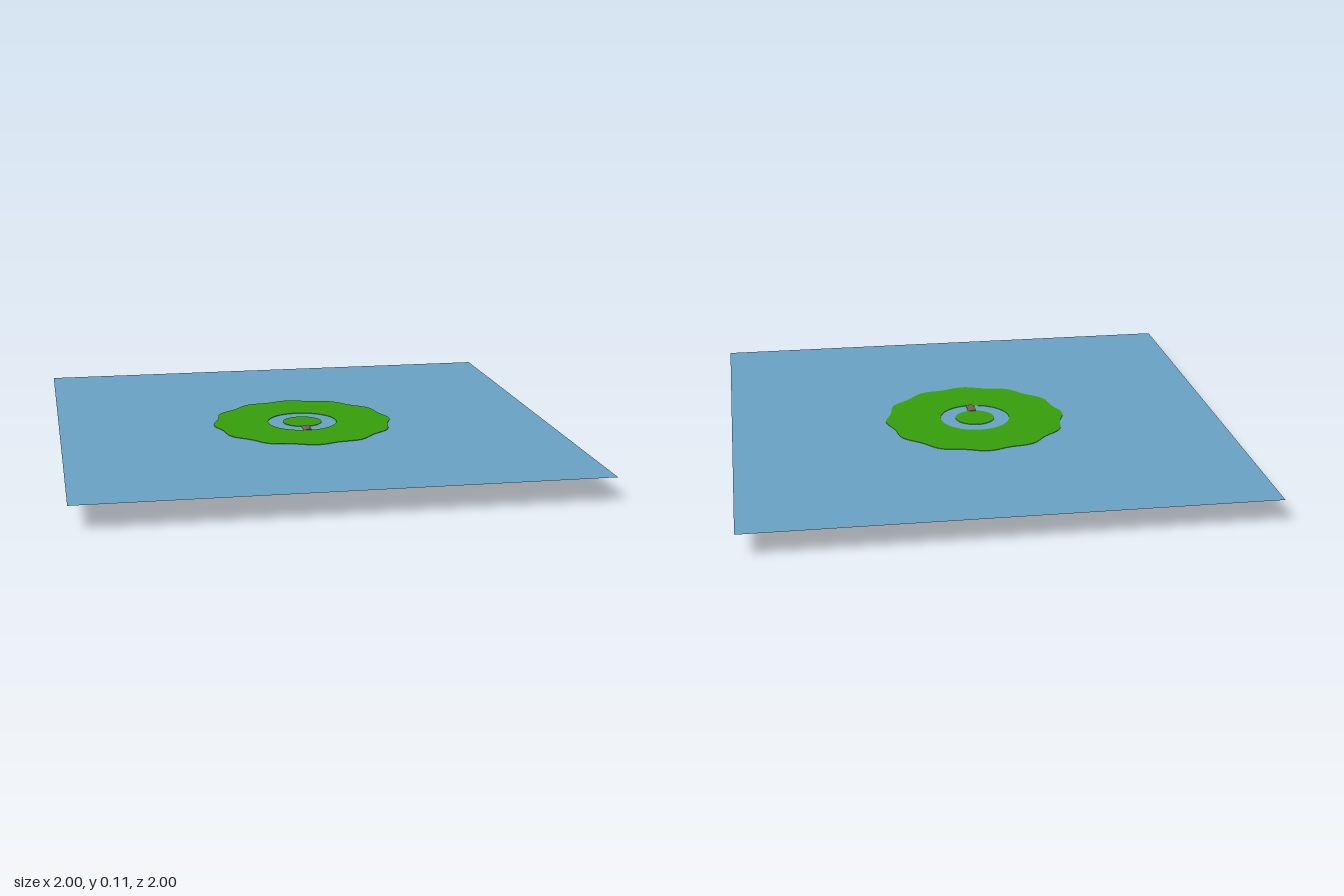
import * as THREE from 'three';
import { toCreasedNormals } from 'three/addons/utils/BufferGeometryUtils.js';

const WATER_Y = 0.1;
const TOP_Y = 0.102;

function part(name, geometry, color, side = THREE.FrontSide) {
  const mesh = new THREE.Mesh(geometry, new THREE.MeshStandardMaterial({ color, side }));
  mesh.name = name;
  return mesh;
}

// Island: a turned bowl with a carved moat, its outer wall pushed into lobes
function islandGeometry() {
  const profile = [
    [0, 0], [0.295, 0], [0.318, 0.014], [0.338, 0.03], [0.353, 0.047], [0.361, 0.065], [0.362, TOP_Y],
    [0.142, TOP_Y], [0.142, 0.06], [0.08, 0.06], [0.08, TOP_Y], [0, TOP_Y],
  ].map(([r, y]) => new THREE.Vector2(r, y));
  const geometry = new THREE.LatheGeometry(profile, 144);
  const pos = geometry.attributes.position;
  for (let i = 0; i < pos.count; i++) {
    const x = pos.getX(i), z = pos.getZ(i);
    if (Math.hypot(x, z) < 0.2) continue;
    const k = 1 + 0.022 * Math.cos(12 * Math.atan2(z, x));
    pos.setX(i, x * k);
    pos.setZ(i, z * k);
  }
  return toCreasedNormals(geometry, 0.6);
}

export function createModel() {
  const model = new THREE.Group();
  model.name = 'islandInWater';

  // Thin sheet of water, also filling the moat
  const water = part('water', new THREE.PlaneGeometry(2, 2), 0x6ba3c6, THREE.DoubleSide);
  water.rotation.x = -Math.PI / 2;
  water.position.y = WATER_Y;
  model.add(water);

  model.add(part('island', islandGeometry(), 0x37a00c));

  // Low log bridge across the front of the moat
  const log = new THREE.CylinderGeometry(0.017, 0.017, 0.068, 12);
  log.rotateX(Math.PI / 2);
  log.scale(1, 0.3, 1);
  const bridge = part('logBridge', log, 0x7a6050);
  bridge.position.set(0, WATER_Y, 0.109);
  model.add(bridge);

  return model;
}
